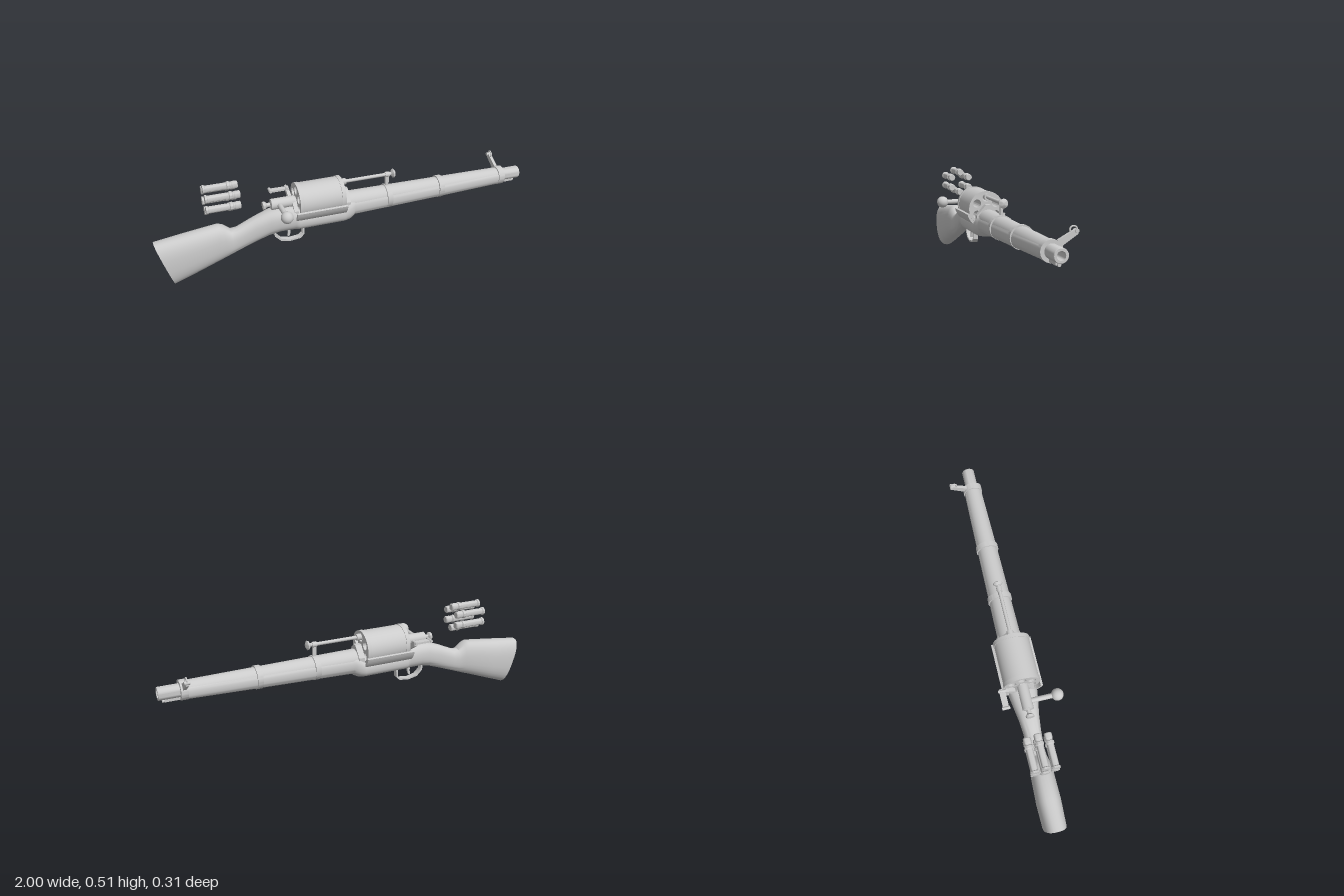
import * as THREE from 'three';
import { toCreasedNormals } from 'three/addons/utils/BufferGeometryUtils.js';

const mat = new THREE.MeshStandardMaterial({ color: 0xcccccc, side: THREE.DoubleSide });

export function createModel() {
  const model = new THREE.Group();
  const add = (name, geo, parent = model) => {
    const m = new THREE.Mesh(geo, mat);
    m.name = name;
    parent.add(m);
    return m;
  };
  // Round bar along x, from radius r0 at x0 to r1 at x1
  const barX = (name, x0, x1, y, z, r0, r1 = r0, seg = 28) =>
    add(name, new THREE.CylinderGeometry(r1, r0, x1 - x0, seg).rotateZ(-Math.PI / 2).translate((x0 + x1) / 2, y, z));
  // Turned part along x; points are [radius, x]
  const turnX = (name, pts, y, z, seg = 24) =>
    add(name, toCreasedNormals(new THREE.LatheGeometry(pts.map(p => new THREE.Vector2(...p)), seg), 0.6)
      .rotateZ(-Math.PI / 2).translate(0, y, z));
  // Shape in (-z, y) extruded along x
  const plateX = (name, shape, x0, x1) =>
    add(name, toCreasedNormals(new THREE.ExtrudeGeometry(shape, { depth: x1 - x0, bevelEnabled: false, curveSegments: 24 }), 0.6)
      .rotateY(Math.PI / 2).translate(x0, 0, 0));
  const circle = (x, y, r) => new THREE.Path().absarc(x, y, r, 0, Math.PI * 2, true);
  const poly = pts => new THREE.Shape(pts.map(p => new THREE.Vector2(...p)));

  // Loft of rounded sections: [topX, topY, bottomX, bottomY, halfWidth]
  const loft = (name, rings) => {
    const n = 32, pos = [], idx = [];
    const soft = v => Math.sign(v) * Math.abs(v) ** 0.8;
    for (const [xt, yt, xb, yb, w] of rings) {
      for (let j = 0; j < n; j++) {
        const a = j / n * Math.PI * 2, k = (soft(Math.cos(a)) + 1) / 2;
        pos.push(xb + (xt - xb) * k, yb + (yt - yb) * k, w * soft(Math.sin(a)));
      }
    }
    const last = rings.length - 1;
    for (const [xt, yt, xb, yb] of [rings[0], rings[last]]) pos.push((xt + xb) / 2, (yt + yb) / 2, 0);
    const c0 = rings.length * n, c1 = c0 + 1;
    for (let j = 0; j < n; j++) {
      const q = (j + 1) % n;
      for (let i = 0; i < last; i++) {
        const a = i * n + j, b = i * n + q;
        idx.push(a, b, a + n, b, b + n, a + n);
      }
      idx.push(c0, q, j, c1, last * n + j, last * n + q);
    }
    const g = new THREE.BufferGeometry();
    g.setAttribute('position', new THREE.Float32BufferAttribute(pos, 3));
    g.setIndex(idx);
    return add(name, toCreasedNormals(g, 0.7));
  };

  // Wooden stock with butt, grip, receiver belly and tapering fore-end
  loft('stock', [
    [-1, 0.245, -0.92, 0.003, 0.058], [-0.85, 0.264, -0.83, 0.037, 0.062],
    [-0.68, 0.285, -0.7, 0.086, 0.057], [-0.655, 0.275, -0.66, 0.1, 0.052],
    [-0.62, 0.247, -0.62, 0.115, 0.045], [-0.59, 0.25, -0.59, 0.126, 0.042],
    [-0.5, 0.29, -0.5, 0.16, 0.045], [-0.42, 0.318, -0.43, 0.185, 0.053],
    [-0.37, 0.326, -0.38, 0.197, 0.062], [-0.3, 0.33, -0.3, 0.2, 0.074],
    [-0.28, 0.3, -0.28, 0.2, 0.076], [-0.04, 0.3, -0.04, 0.2, 0.076],
    [-0.015, 0.32, -0.01, 0.203, 0.073], [0.01, 0.325, 0.01, 0.212, 0.064],
    [0.02, 0.325, 0.02, 0.222, 0.06], [0.5, 0.327, 0.5, 0.235, 0.053],
    [0.88, 0.327, 0.88, 0.247, 0.046],
  ]);
  barX('handguard', -0.04, 0.89, 0.29, 0, 0.056, 0.045);

  // Barrel with open muzzle
  turnX('barrel', [[0.02, 0.6], [0.02, 1], [0.031, 1], [0.033, 0.997], [0.033, 0.85]], 0.292, 0);
  barX('boreEnd', 0.6, 0.61, 0.292, 0, 0.02);
  add('cleaningRodChannel', new THREE.BoxGeometry(0.09, 0.016, 0.026).translate(0.925, 0.256, 0));
  barX('cleaningRod', 0.86, 0.98, 0.25, 0, 0.007);

  // Bands around barrel and fore-end
  for (const [x, w, top, bot, hw] of [[0.215, 0.028, 0.348, 0.222, 0.063], [0.515, 0.028, 0.346, 0.229, 0.059], [0.88, 0.034, 0.341, 0.242, 0.051]]) {
    const s = new THREE.Shape().absellipse(0, (top + bot) / 2, hw, (top - bot) / 2, 0, Math.PI * 2);
    plateX('barrelBand', s, x - w / 2, x + w / 2);
  }

  // Revolving drum with six through chambers
  const drumY = 0.345, chamberR = 0.058;
  const ring = [...Array(6).keys()].map(i => [chamberR * Math.sin(i * Math.PI / 3), chamberR * Math.cos(i * Math.PI / 3)]);
  const drumShape = r => {
    const s = new THREE.Shape().absarc(0, drumY, r, 0, Math.PI * 2);
    ring.forEach(([z, y]) => s.holes.push(circle(z, drumY + y, 0.021)));
    return s;
  };
  plateX('drum', drumShape(0.09), -0.26, -0.06);
  plateX('drumRearRim', drumShape(0.093), -0.28, -0.26);
  plateX('drumFrontRim', drumShape(0.093), -0.06, -0.04);
  barX('drumAxle', -0.3, -0.02, drumY, 0, 0.018);

  // Cradle around the lower half of the drum
  const a0 = Math.asin(0.027 / 0.108);
  const cradle = new THREE.Shape();
  cradle.absarc(0, drumY, 0.106, -a0, -Math.PI + a0, true);
  cradle.absarc(0, drumY, 0.094, -Math.PI + a0, -a0, false);
  plateX('drumCradle', cradle, -0.3, -0.035);

  // Frame blocks in front of and behind the drum
  const gable = poly([[-0.06, 0.25], [0.06, 0.25], [0.06, 0.315], [0.012, 0.37], [-0.012, 0.37], [-0.06, 0.315]]);
  plateX('frontFrame', gable, -0.038, -0.005);
  plateX('rearFrame', gable, -0.305, -0.283);

  // Ejector rod with knob and support post
  barX('ejectorRod', -0.06, 0.25, 0.408, 0, 0.009, 0.009, 16);
  barX('ejectorCollar', -0.045, -0.015, 0.408, 0, 0.017);
  turnX('ejectorKnob', [[0, 0.238], [0.012, 0.238], [0.023, 0.246], [0.024, 0.252], [0.012, 0.26], [0, 0.263]], 0.408, 0);
  add('rodPost', new THREE.BoxGeometry(0.018, 0.075, 0.013).translate(0.215, 0.373, 0));
  barX('rodEye', 0.203, 0.227, 0.408, 0, 0.014);

  // Bolt with ball handle and rear knob
  barX('bolt', -0.41, -0.29, 0.347, 0, 0.028);
  turnX('boltKnob', [[0, -0.452], [0.02, -0.452], [0.021, -0.44], [0.011, -0.432], [0.011, -0.415], [0.024, -0.41], [0, -0.405]], 0.347, 0);
  add('boltHandle', new THREE.CylinderGeometry(0.013, 0.013, 0.13, 20).rotateX(Math.PI / 2).translate(-0.37, 0.347, 0.075));
  add('boltBall', new THREE.SphereGeometry(0.031, 28, 18).translate(-0.37, 0.347, 0.156));

  // Trigger guard and trigger
  const guard = poly([[-0.405, 0.205], [-0.4, 0.165], [-0.37, 0.135], [-0.32, 0.124], [-0.265, 0.13], [-0.245, 0.15], [-0.242, 0.205]]);
  guard.holes.push(poly([[-0.395, 0.204], [-0.39, 0.17], [-0.365, 0.144], [-0.32, 0.133], [-0.27, 0.139], [-0.254, 0.154], [-0.252, 0.204]]));
  const slab = (name, shape, w) => add(name, toCreasedNormals(
    new THREE.ExtrudeGeometry(shape, { depth: w, bevelEnabled: false }).translate(0, 0, -w / 2), 0.7));
  slab('triggerGuard', guard, 0.028);
  slab('trigger', poly([[-0.335, 0.21], [-0.328, 0.175], [-0.332, 0.15], [-0.322, 0.15], [-0.315, 0.175], [-0.315, 0.21]]), 0.012);

  // Offset sights, both leaning to the side on slanted arms
  const arm = poly([[0.03, 0.315], [0.042, 0.305], [0.118, 0.356], [0.118, 0.376], [0.105, 0.376], [0.03, 0.335]]);
  plateX('frontSightArm', arm, 0.872, 0.888);
  add('frontSightRing', new THREE.TorusGeometry(0.016, 0.004, 10, 28).rotateY(Math.PI / 2).translate(0.88, 0.374, -0.1));
  barX('frontSightPin', 0.866, 0.894, 0.37, -0.112, 0.009);
  plateX('rearSightArm', arm, -0.305, -0.288);
  add('rearSightBase', new THREE.BoxGeometry(0.1, 0.01, 0.03).translate(-0.342, 0.368, -0.105));
  for (const x of [-0.385, -0.298]) {
    add('rearSightHinge', new THREE.CylinderGeometry(0.008, 0.008, 0.04, 16).rotateX(Math.PI / 2).translate(x, 0.37, -0.105));
  }

  // Six loose cartridges floating in a ring above the butt
  for (const [z, y] of ring) {
    turnX('cartridge', [[0, -0.74], [0.021, -0.74], [0.021, -0.731], [0.017, -0.727], [0.017, -0.626], [0.021, -0.622],
      [0.021, -0.61], [0.017, -0.607], [0.017, -0.6], [0.019, -0.597], [0.019, -0.574], [0.016, -0.57], [0, -0.57]], 0.432 + y, z);
  }

  model.position.z = -0.03;
  const root = new THREE.Group();
  root.name = 'revolvingRifle';
  model.name = 'rifle';
  root.add(model);
  return root;
}
